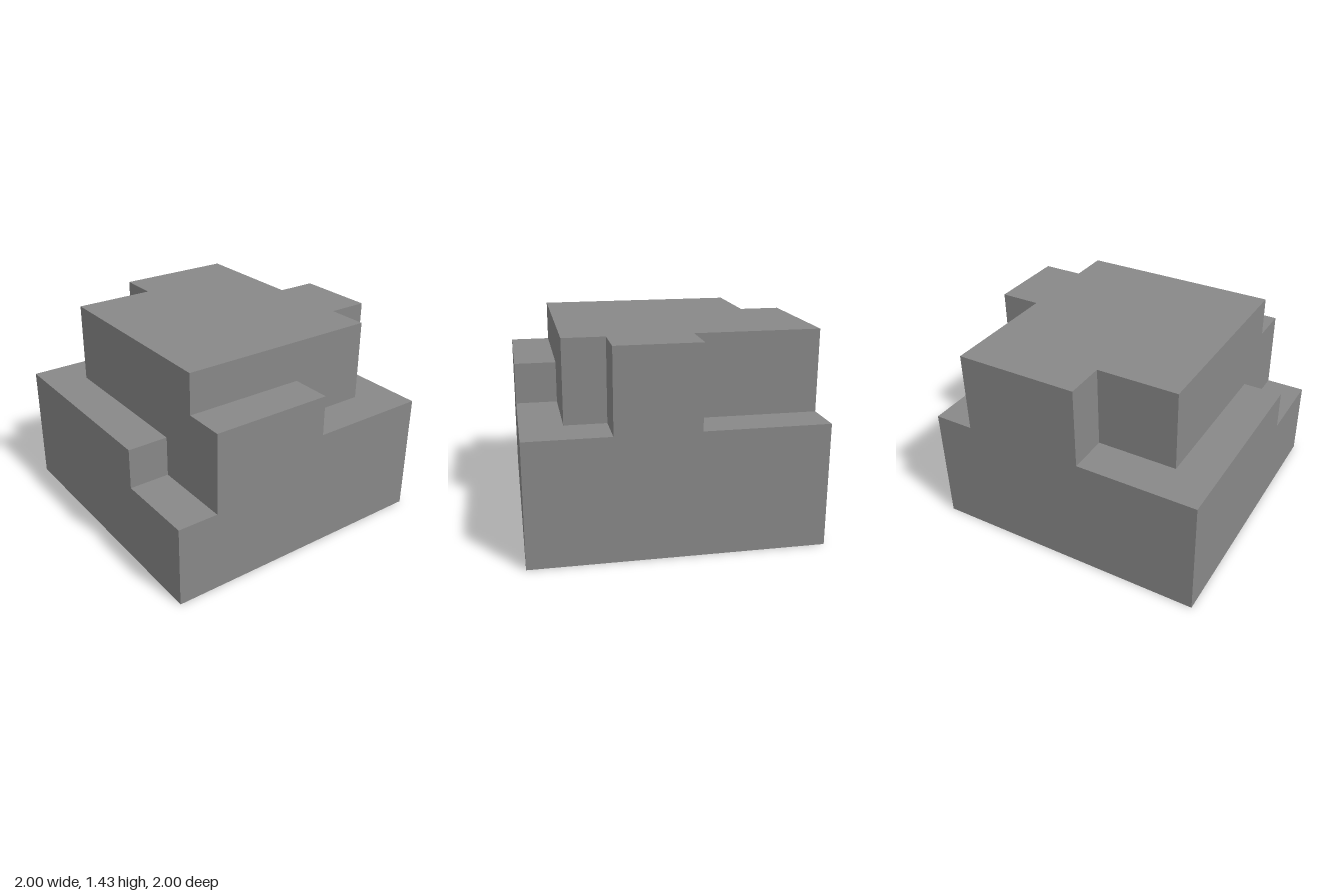
import * as THREE from 'three';
import { mergeGeometries } from 'three/addons/utils/BufferGeometryUtils.js';

// The block sits on a 7 x 7 plan grid; plan points are [x, z] counted from the back -x corner.
const U = 2 / 7;
const px = (v) => v * U - 1;
const rect = (x0, z0, x1, z1) => [[x0, z0], [x1, z0], [x1, z1], [x0, z1]];

// Vertical walls around a closed plan outline between two levels
function walls(outline, y0, y1) {
  const pos = [];
  outline.forEach((a, i) => {
    const b = outline[(i + 1) % outline.length];
    const corner = ([x, z], y) => [px(x), y * U, px(z)];
    const [p, q, r, s] = [corner(b, y0), corner(a, y0), corner(a, y1), corner(b, y1)];
    pos.push(...p, ...q, ...r, ...p, ...r, ...s);
  });
  const g = new THREE.BufferGeometry();
  g.setAttribute('position', new THREE.Float32BufferAttribute(pos, 3));
  g.computeVertexNormals();
  return g;
}

// Horizontal face filling a plan outline
function floor(outline, y, down = false) {
  const sign = down ? 1 : -1;
  const shape = new THREE.Shape(outline.map(([x, z]) => new THREE.Vector2(px(x), sign * px(z))));
  const g = new THREE.ShapeGeometry(shape).toNonIndexed();
  g.deleteAttribute('uv');
  return g.rotateX(sign * Math.PI / 2).translate(0, y * U, 0);
}

export function createModel() {
  const grey = new THREE.MeshStandardMaterial({ color: 0x888888 });
  grey.name = 'grey';
  const model = new THREE.Group();
  model.name = 'steppedBlock';
  const add = (name, ...parts) => {
    const mesh = new THREE.Mesh(mergeGeometries(parts), grey);
    mesh.name = name;
    model.add(mesh);
  };

  const base = rect(0, 0, 7, 7);
  const notched = [[0, 0], [7, 0], [7, 6], [5, 6], [5, 7], [0, 7]];
  const middle = [[3, 0], [5, 0], [5, 1], [6, 1], [6, 3], [7, 3], [7, 6], [1, 6], [1, 4], [0, 4], [0, 1], [3, 1]];
  const top = [[3, 0], [5, 0], [5, 1], [6, 1], [6, 6], [1, 6], [1, 4], [0, 4], [0, 1], [3, 1]];

  // Square base with the low front corner step
  add('base', floor(base, 0, true), walls(base, 0, 2), floor(rect(5, 6, 7, 7), 2));

  // Second layer with its four open ledges
  add('lowerTier', walls(notched, 2, 3),
    floor(rect(0, 6, 5, 7), 3),
    floor(rect(0, 4, 1, 6), 3),
    floor(rect(0, 0, 3, 1), 3),
    floor([[5, 0], [7, 0], [7, 3], [6, 3], [6, 1], [5, 1]], 3));

  // Third layer with the side shelf
  add('middleTier', walls(middle, 3, 4), floor(rect(6, 3, 7, 6), 4));

  // Flat top
  add('topTier', walls(top, 4, 5), floor(top, 5));

  return model;
}
